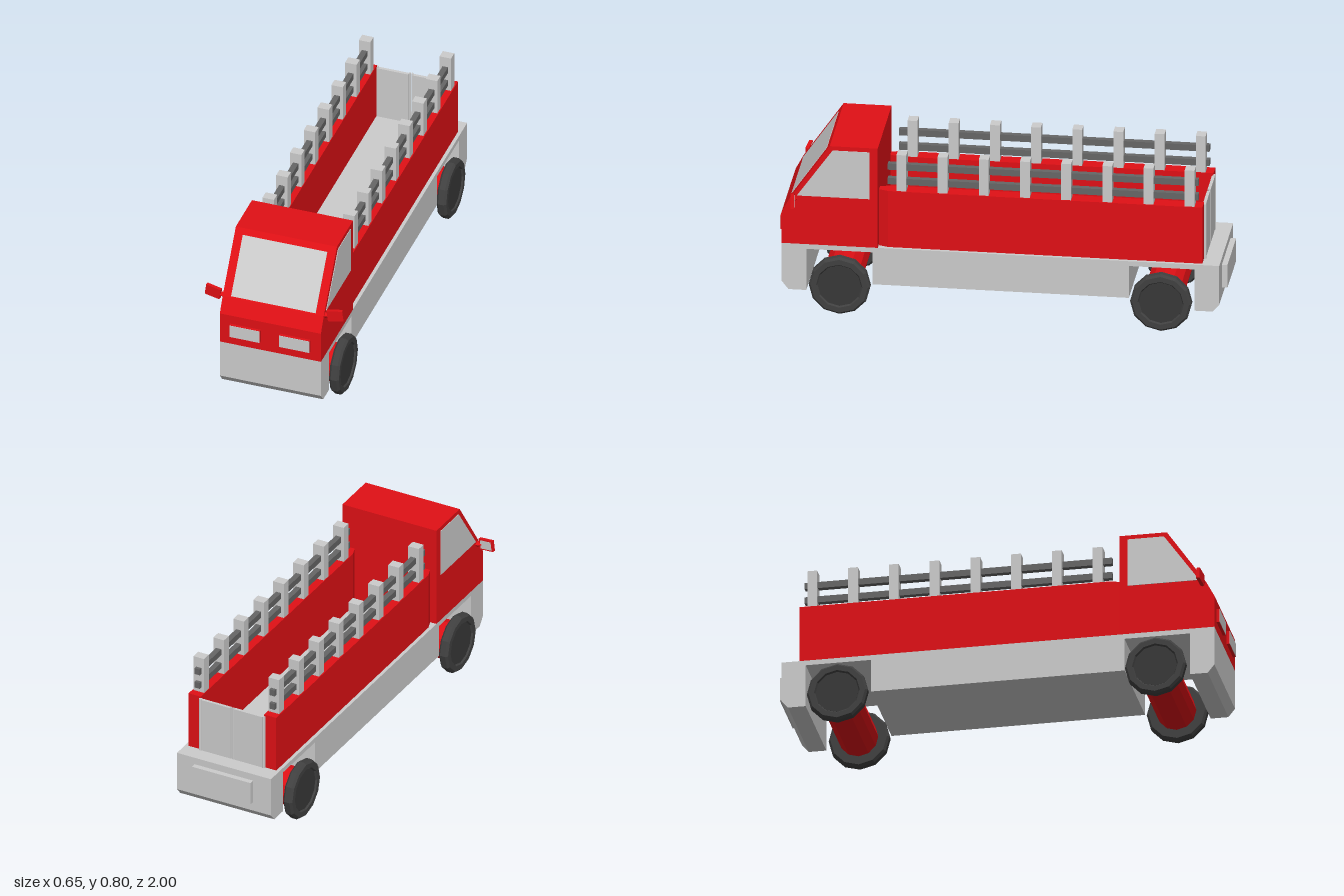
import * as THREE from 'three';

const mat = (color, side = THREE.FrontSide) => new THREE.MeshStandardMaterial({ color, flatShading: true, side });
const RED = mat(0xe01015), GREY = mat(0xcccccc), RAIL = mat(0x666666), TYRE = mat(0x404040), HUB = mat(0x383838);
const GLASS = mat(0xcccccc, THREE.DoubleSide);

function add(parent, name, geometry, material, x = 0, y = 0, z = 0) {
  const mesh = new THREE.Mesh(geometry, material);
  mesh.name = name;
  mesh.position.set(x, y, z);
  parent.add(mesh);
  return mesh;
}

// Box given by its extents
const box = (parent, name, material, x0, x1, y0, y1, z0, z1) =>
  add(parent, name, new THREE.BoxGeometry(x1 - x0, y1 - y0, z1 - z0), material,
    (x0 + x1) / 2, (y0 + y1) / 2, (z0 + z1) / 2);

const shapeOf = (points) => new THREE.Shape(points.map(([a, b]) => new THREE.Vector2(a, b)));

// Side profile of [z, y] points, extruded across the width and centred on x
function sideProfile(points, width) {
  return new THREE.ExtrudeGeometry(shapeOf(points), { depth: width, bevelEnabled: false })
    .rotateY(-Math.PI / 2).translate(width / 2, 0, 0);
}

function makeWheel() {
  const wheel = new THREE.Group();
  wheel.name = 'wheel';
  // Tyre with bevelled shoulders and a recessed hub, spun round the axle
  const profile = [[0, -0.023], [0.128, -0.023], [0.138, -0.013], [0.138, 0.013], [0.128, 0.023], [0.104, 0.023], [0.098, 0.015]];
  const tyre = new THREE.LatheGeometry(profile.map(([r, h]) => new THREE.Vector2(r, h)), 12).rotateZ(-Math.PI / 2);
  add(wheel, 'tyre', tyre, TYRE);
  add(wheel, 'hub', new THREE.CylinderGeometry(0.098, 0.098, 0.02, 12).rotateZ(-Math.PI / 2), HUB, 0.006);
  return wheel;
}

function makeMirror() {
  const mirror = new THREE.Group();
  mirror.name = 'mirror';
  const arm = add(mirror, 'mirrorArm', new THREE.CylinderGeometry(0.017, 0.009, 0.034, 4).rotateZ(Math.PI / 2),
    RED, 0.248, 0.538, 0.93);
  arm.rotation.z = 0.15;
  const head = new THREE.Group();
  head.name = 'mirrorHead';
  head.position.set(0.287, 0.545, 0.93);
  head.rotation.set(0, 0.12, 0.13);
  box(head, 'mirrorShell', RED, -0.036, 0.036, -0.026, 0.026, -0.007, 0.009);
  box(head, 'mirrorGlass', GREY, -0.029, 0.029, -0.02, 0.02, -0.009, -0.006);
  mirror.add(head);
  return mirror;
}

export function createModel() {
  const truck = new THREE.Group();
  truck.name = 'truck';

  // Chassis with bumpers and wheel arches
  add(truck, 'chassis', sideProfile([
    [0.985, 0.318], [-0.975, 0.318], [-0.975, 0.13], [-0.945, 0.095], [-0.865, 0.095], [-0.865, 0.295],
    [-0.57, 0.295], [-0.57, 0.14], [0.578, 0.14], [0.578, 0.295], [0.875, 0.295], [0.875, 0.095],
    [0.955, 0.095], [0.985, 0.133],
  ], 0.476), GREY);
  box(truck, 'rearPlate', GREY, -0.148, 0.148, 0.175, 0.285, -1, -0.974);

  // Cab
  add(truck, 'cab', sideProfile([
    [0.555, 0.318], [0.985, 0.318], [0.985, 0.47], [0.948, 0.54], [0.77, 0.8], [0.555, 0.8],
  ], 0.476), RED);

  // Windscreen lies just proud of the sloping front
  const slope = Math.atan2(0.178, 0.26);
  const screen = add(truck, 'windscreen', new THREE.BoxGeometry(0.398, 0.278, 0.004), GLASS, 0, 0.66, 0.866);
  screen.rotation.x = -slope;

  // Side windows
  add(truck, 'sideWindows', sideProfile([[0.592, 0.553], [0.917, 0.553], [0.757, 0.78], [0.592, 0.78]], 0.481), GLASS);

  for (const s of [-1, 1]) {
    // Headlights
    const lx = s * 0.117;
    box(truck, 'headlightCase', RED, lx - 0.072, lx + 0.072, 0.363, 0.426, 0.98, 0.998);
    box(truck, 'headlightLens', GREY, lx - 0.071, lx + 0.071, 0.364, 0.425, 0.99, 1);

    // Mirrors
    const mirror = makeMirror();
    mirror.scale.x = s;
    truck.add(mirror);

    // Bed wall, pointed where it meets the cab
    const plan = shapeOf([
      [s * 0.191 - 0.031, 0.897], [s * 0.191 - 0.031, -0.51], [s * 0.191 - 0.016, -0.553],
      [s * 0.191 + 0.016, -0.553], [s * 0.191 + 0.031, -0.51], [s * 0.191 + 0.031, 0.897],
    ]);
    add(truck, 'bedWall', new THREE.ExtrudeGeometry(plan, { depth: 0.272, bevelEnabled: false }).rotateX(-Math.PI / 2),
      RED, 0, 0.318, 0);

    // Stake fence: posts and two rails
    const fence = new THREE.Group();
    fence.name = 'fence';
    fence.position.x = s * 0.19;
    for (let i = 0; i < 8; i++) {
      const z = 0.452 - i * 0.1845;
      box(fence, 'post', GREY, -0.027, 0.027, 0.585, 0.765, z - 0.022, z + 0.022);
    }
    for (const y of [0.63, 0.7]) box(fence, 'rail', RAIL, -0.013, 0.013, y - 0.015, y + 0.015, -0.877, 0.515);
    truck.add(fence);

    // Tailgate door with hinge and latch posts
    const dx = s * 0.083;
    box(truck, 'tailgateDoor', GREY, dx - 0.074, dx + 0.074, 0.318, 0.578, -0.904, -0.89);
    add(truck, 'tailgateHinge', new THREE.CylinderGeometry(0.008, 0.008, 0.264, 8), GREY, s * 0.16, 0.45, -0.9);
    add(truck, 'tailgateLatch', new THREE.CylinderGeometry(0.005, 0.005, 0.264, 8), GREY, s * 0.006, 0.45, -0.9);
  }

  // Axles and wheels
  for (const z of [0.723, -0.717]) {
    add(truck, 'axle', new THREE.CylinderGeometry(0.089, 0.089, 0.456, 12).rotateZ(Math.PI / 2), RED, 0, 0.138, z);
    for (const s of [-1, 1]) {
      const wheel = makeWheel();
      wheel.position.set(s * 0.252, 0.138, z);
      wheel.rotation.y = s > 0 ? 0 : Math.PI;
      truck.add(wheel);
    }
  }
  return truck;
}
